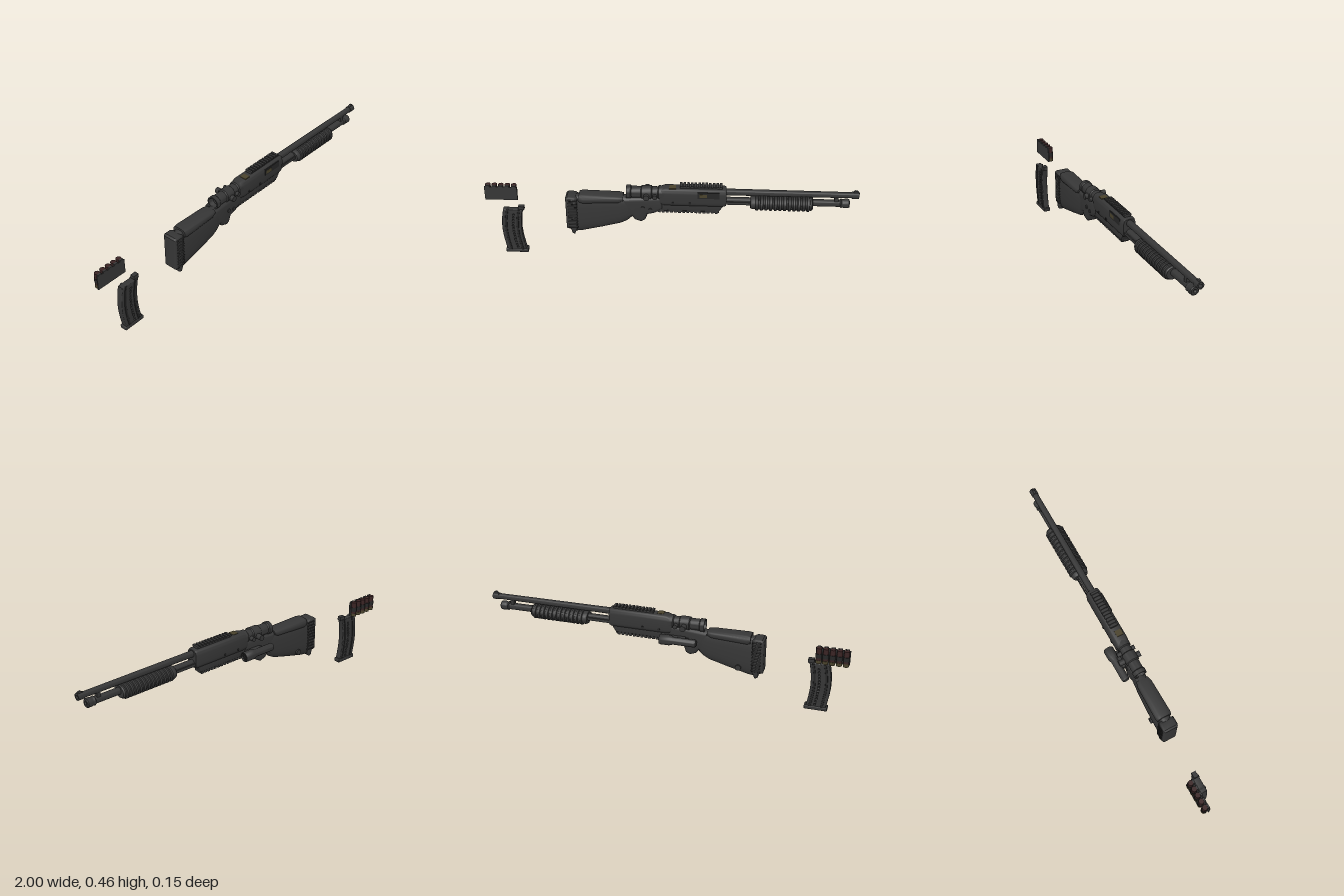
import * as THREE from 'three';
import { toCreasedNormals } from 'three/addons/utils/BufferGeometryUtils.js';
import { RoundedBoxGeometry } from 'three/addons/geometries/RoundedBoxGeometry.js';

export function createModel() {
  const root = new THREE.Group();
  root.name = 'shotgunSet';
  root.position.z = 0.02;

  const mat = (name, color) => {
    const m = new THREE.MeshStandardMaterial({ color });
    m.name = name;
    return m;
  };
  const body = mat('darkGrey', 0x363636);
  const dark = mat('black', 0x262626);
  const red = mat('darkRed', 0x3a2424);
  const brass = mat('darkBrass', 0x4a432c);

  const add = (name, geo, m = body, x = 0, y = 0, z = 0, parent = root) => {
    const mesh = new THREE.Mesh(geo, m);
    mesh.name = name;
    mesh.position.set(x, y, z);
    parent.add(mesh);
    return mesh;
  };
  // Box given by its limits
  const box = (name, x0, x1, y0, y1, z0, z1, m = body) =>
    add(name, new THREE.BoxGeometry(x1 - x0, y1 - y0, z1 - z0), m, (x0 + x1) / 2, (y0 + y1) / 2, (z0 + z1) / 2);
  // Turned part along x, from [x, radius] pairs
  const turned = (name, pts, y, z = 0, m = body) => {
    const g = new THREE.LatheGeometry(pts.map(([x, r]) => new THREE.Vector2(r, x)), 24);
    g.rotateZ(-Math.PI / 2);
    return add(name, toCreasedNormals(g, 0.6), m, 0, y, z);
  };
  // Side profile extruded across z
  const plate = (name, pts, width, bevel = 0.008, m = body, holes = []) => {
    const s = new THREE.Shape(pts.map((p) => new THREE.Vector2(...p)));
    s.holes = holes;
    const depth = width - 2 * bevel;
    const g = new THREE.ExtrudeGeometry(s, {
      depth, bevelEnabled: bevel > 0, bevelSize: bevel, bevelOffset: -bevel, bevelThickness: bevel, bevelSegments: 3,
    });
    g.translate(0, 0, -depth / 2);
    return add(name, toCreasedNormals(g, 0.6), m);
  };
  // Rounded hull along x, from [x, bottom, top, halfWidth] stations
  const hull = (name, stations, power = 3, m = body) => {
    const n = 28, pos = [], idx = [];
    const bend = (v) => Math.sign(v) * Math.abs(v) ** (2 / power);
    for (const [x, y0, y1, hz] of stations)
      for (let j = 0; j < n; j++) {
        const t = (j / n) * Math.PI * 2;
        pos.push(x, (y0 + y1) / 2 + ((y1 - y0) / 2) * bend(Math.sin(t)), hz * bend(Math.cos(t)));
      }
    const last = stations.length - 1;
    for (let i = 0; i < last; i++)
      for (let j = 0; j < n; j++) {
        const a = i * n + j, d = i * n + ((j + 1) % n);
        idx.push(a, a + n, d, d, a + n, d + n);
      }
    [0, last].forEach((i) => {
      const [x, y0, y1] = stations[i];
      const c = pos.length / 3;
      pos.push(x, (y0 + y1) / 2, 0);
      for (let j = 0; j < n; j++) {
        const a = i * n + j, b = i * n + ((j + 1) % n);
        idx.push(c, i ? b : a, i ? a : b);
      }
    });
    const g = new THREE.BufferGeometry();
    g.setAttribute('position', new THREE.Float32BufferAttribute(pos, 3));
    g.setIndex(idx);
    return add(name, toCreasedNormals(g, 0.7), m);
  };

  // Barrel with open muzzle and front sight
  turned('barrel', [[0.28, 0], [0.28, 0.018], [0.96, 0.016], [0.96, 0.019], [0.995, 0.019], [0.995, 0.011], [0.94, 0.011], [0.94, 0]], 0.415);
  plate('frontSight', [[0.955, 0.425], [1, 0.425], [0.99, 0.44], [0.975, 0.444]], 0.012, 0.002);
  // Tube under the barrel with ringed cap
  turned('lowerTube', [[0.28, 0], [0.28, 0.019], [0.9, 0.019], [0.905, 0.025], [0.915, 0.022], [0.925, 0.025], [0.945, 0.025], [0.95, 0.02], [0.95, 0.01], [0.94, 0]], 0.363);
  box('tubeClamp', 0.87, 0.89, 0.355, 0.42, -0.012, 0.012);

  // Ribbed pump handle
  const ribs = [[0.43, 0], [0.43, 0.04], [0.44, 0.046]];
  for (let i = 0; i < 12; i++) {
    const x = 0.455 + i * 0.0245;
    ribs.push([x, 0.046], [x + 0.003, 0.053], [x + 0.014, 0.053], [x + 0.017, 0.046]);
  }
  ribs.push([0.75, 0.046], [0.757, 0.04], [0.757, 0]);
  turned('pumpHandle', ribs, 0).scale.y = 0.8;
  root.getObjectByName('pumpHandle').position.y = 0.358;
  for (const s of [-1, 1]) box('pumpArm', 0.28, 0.44, 0.352, 0.368, s * 0.024 - 0.003, s * 0.024 + 0.003);

  // Receiver
  hull('receiver', [[-0.05, 0.34, 0.43, 0.033], [-0.02, 0.335, 0.441, 0.038], [0.29, 0.335, 0.441, 0.038], [0.302, 0.34, 0.437, 0.034]], 4);
  box('ejectionPort', 0.15, 0.265, 0.392, 0.428, 0.032, 0.0395, dark);
  box('portShell', 0.16, 0.2, 0.398, 0.418, 0.036, 0.0402, brass);
  box('receiverMark', 0.0, 0.035, 0.436, 0.4425, -0.012, 0.026, brass);
  for (const x of [0.02, 0.11]) {
    const pin = add('receiverPin', new THREE.CylinderGeometry(0.007, 0.007, 0.08, 12), dark, x, 0.36);
    pin.rotation.x = Math.PI / 2;
  }
  // Toothed top rail
  box('railBase', 0.056, 0.28, 0.435, 0.448, -0.017, 0.017);
  for (let i = 0; i < 12; i++) box('railTooth', 0.056 + i * 0.0192, 0.069 + i * 0.0192, 0.446, 0.455, -0.022, 0.022);

  // Lower housing with slotted under rail
  plate('lowerHousing', [[-0.1, 0.345], [0.29, 0.345], [0.265, 0.305], [-0.06, 0.305], [-0.1, 0.32]], 0.058, 0.006);
  box('underRail', -0.065, 0.265, 0.297, 0.31, -0.024, 0.024);
  for (let i = 0; i < 15; i++) box('underRailTooth', -0.06 + i * 0.0217, -0.046 + i * 0.0217, 0.289, 0.299, -0.021, 0.021);

  // Rear sight tube with stepped rings and side knobs
  turned('rearTube', [[-0.2, 0], [-0.2, 0.022], [-0.228, 0.028], [-0.228, 0.035], [-0.205, 0.036], [-0.2, 0.031], [-0.15, 0.031],
    [-0.145, 0.037], [-0.095, 0.037], [-0.09, 0.031], [-0.06, 0.031], [-0.055, 0.037], [-0.02, 0.037], [-0.02, 0]], 0.402);
  for (const [x, z0, z1, r] of [[-0.12, -0.068, 0.056, 0.016], [-0.075, -0.055, 0.048, 0.012]]) {
    const knob = add('sideKnob', new THREE.CylinderGeometry(r, r, z1 - z0, 16), body, x, 0.395, (z0 + z1) / 2);
    knob.rotation.x = Math.PI / 2;
  }

  // Wrist and short grip
  plate('grip', [[-0.25, 0.372], [-0.03, 0.385], [-0.03, 0.315], [-0.075, 0.285], [-0.115, 0.275], [-0.128, 0.24], [-0.15, 0.228],
    [-0.185, 0.24], [-0.2, 0.262], [-0.25, 0.235]], 0.064, 0.018);
  for (const [x, y] of [[-0.14, 0.32], [-0.1, 0.31]]) {
    const button = add('gripButton', new THREE.CylinderGeometry(0.01, 0.01, 0.074, 14), body, x, y);
    button.rotation.x = Math.PI / 2;
  }

  // Side lamp with ribbed lens
  turned('sideLamp', [[-0.195, 0], [-0.195, 0.018], [-0.185, 0.021], [-0.07, 0.021], [-0.05, 0.028], [0, 0.028], [0.005, 0.025], [0.005, 0.022], [-0.005, 0.021], [-0.005, 0]], 0.32, -0.066);
  for (let i = 0; i < 4; i++) {
    const spoke = add('lampSpoke', new THREE.BoxGeometry(0.006, 0.042, 0.003), dark, -0.003, 0.32, -0.066);
    spoke.rotation.x = (i * Math.PI) / 4;
  }
  box('lampMount', -0.13, -0.03, 0.31, 0.335, -0.055, -0.02);

  // Shoulder stock, cheek rest and ribbed pad
  hull('stock', [[-0.518, 0.148, 0.37, 0.036], [-0.47, 0.155, 0.38, 0.04], [-0.36, 0.183, 0.382, 0.04], [-0.26, 0.21, 0.38, 0.036], [-0.225, 0.228, 0.378, 0.033], [-0.19, 0.262, 0.368, 0.028]], 3);
  hull('cheekRest', [[-0.48, 0.34, 0.388, 0.04], [-0.46, 0.335, 0.39, 0.044], [-0.27, 0.345, 0.386, 0.041], [-0.245, 0.355, 0.382, 0.034]], 3);
  plate('buttPad', [[-0.553, 0.368], [-0.543, 0.376], [-0.505, 0.376], [-0.488, 0.365], [-0.495, 0.18], [-0.51, 0.144], [-0.525, 0.15], [-0.53, 0.175], [-0.553, 0.182]], 0.084, 0.012);
  for (let i = 0; i < 10; i++)
    add('padRib', new RoundedBoxGeometry(0.05, 0.01, 0.09, 2, 0.004), dark, -0.515, 0.192 + i * 0.0185);
  const stud = add('slingStud', new THREE.CylinderGeometry(0.016, 0.016, 0.012, 16), body, -0.42, 0.2, -0.04);
  stud.rotation.x = Math.PI / 2;

  // Loose curved magazine with a row of slots
  const mid = (y) => -0.829 - 0.025 * Math.sin((Math.PI * (y - 0.01)) / 0.33) - 0.01 * (1 - y / 0.29);
  const ys = Array.from({ length: 9 }, (_, i) => 0.015 + i * 0.0325);
  const outline = [...ys.map((y) => [mid(y) + 0.053, y]), ...ys.map((y) => [mid(y) - 0.053, y]).reverse()];
  const slots = Array.from({ length: 13 }, (_, i) => {
    const y = 0.032 + i * 0.0175, x = mid(y) + 0.008;
    return new THREE.Path([[-1, -1], [-1, 1], [1, 1], [1, -1]].map(([a, b]) => new THREE.Vector2(x + a * 0.0035, y + b * 0.004)));
  });
  plate('magazine', outline, 0.034, 0.004, body, slots);
  for (const off of [-0.03, 0.033]) {
    const edge = [...ys.map((y) => [mid(y) + off + 0.006, y]), ...ys.map((y) => [mid(y) + off - 0.006, y]).reverse()];
    plate('magazineRib', edge, 0.04, 0.002, dark);
  }
  add('magazineBase', new RoundedBoxGeometry(0.124, 0.022, 0.041, 2, 0.005), body, -0.84, 0.011);
  box('magazineLip', -0.815, -0.783, 0.272, 0.294, -0.012, 0.012);

  // Loose shell carrier
  box('carrierPlate', -1, -0.823, 0.305, 0.385, -0.042, -0.036);
  for (let i = 0; i < 5; i++) {
    const x = -0.982 + i * 0.0352;
    add('shellCase', new THREE.CylinderGeometry(0.0145, 0.0145, 0.068, 16), red, x, 0.357, -0.057);
    add('shellBase', new THREE.CylinderGeometry(0.0155, 0.0155, 0.018, 16), brass, x, 0.314, -0.057);
    box('carrierTooth', x - 0.011, x + 0.011, 0.383, 0.392, -0.046, -0.036);
    add('shellLoop', new THREE.CylinderGeometry(0.0165, 0.0165, 0.024, 16), dark, x, 0.348, -0.057);
  }
  return root;
}
